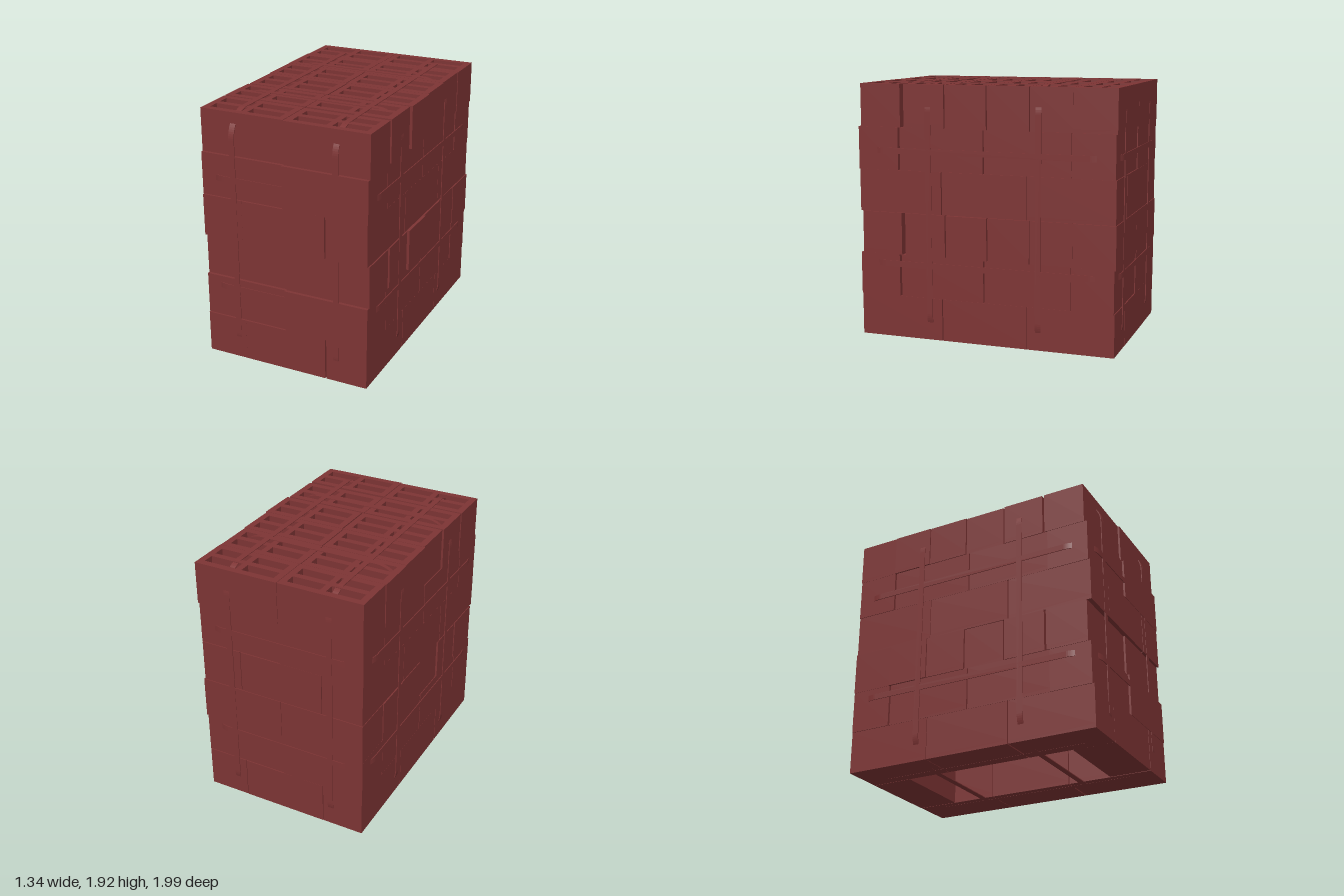
import * as THREE from 'three';
import { mergeGeometries } from 'three/addons/utils/BufferGeometryUtils.js';

const LENGTH = 0.655, WIDTH = 0.318, HEIGHT = 0.319, LAYER = 0.32;
const FLOOR = 0.03; // closed base under the brick cavities

// Rectangle as a closed path, centred on (cx, cy)
function rect(path, cx, cy, w, h) {
  path.moveTo(cx - w / 2, cy - h / 2);
  path.lineTo(cx + w / 2, cy - h / 2);
  path.lineTo(cx + w / 2, cy + h / 2);
  path.lineTo(cx - w / 2, cy + h / 2);
  path.closePath();
  return path;
}

// Rectangle with round corners
function roundRect(path, x0, y0, x1, y1, r) {
  path.moveTo(x0 + r, y0);
  path.lineTo(x1 - r, y0);
  path.absarc(x1 - r, y0 + r, r, -Math.PI / 2, 0);
  path.lineTo(x1, y1 - r);
  path.absarc(x1 - r, y1 - r, r, 0, Math.PI / 2);
  path.lineTo(x0 + r, y1);
  path.absarc(x0 + r, y1 - r, r, Math.PI / 2, Math.PI);
  path.lineTo(x0, y0 + r);
  path.absarc(x0 + r, y0 + r, r, Math.PI, Math.PI * 1.5);
  return path;
}

// Block with four blind cavities, standing on y = 0, long side on x
function brickGeometry() {
  const shape = rect(new THREE.Shape(), 0, 0, LENGTH, WIDTH);
  for (const x of [-0.15, 0.15])
    for (const z of [-0.066, 0.066])
      shape.holes.push(rect(new THREE.Path(), x, z, 0.255, 0.084));
  const walls = new THREE.ExtrudeGeometry(shape, { depth: HEIGHT - FLOOR, bevelEnabled: false });
  walls.rotateX(Math.PI / 2).translate(0, HEIGHT, 0);
  const base = new THREE.BoxGeometry(LENGTH, FLOOR, WIDTH).toNonIndexed();
  base.translate(0, FLOOR / 2, 0);
  return mergeGeometries([walls, base]);
}

// Flat band around a rounded rectangle, extruded evenly about z = 0
function strapGeometry(x0, y0, x1, y1) {
  const t = 0.006, r = 0.2, w = 0.044;
  const shape = roundRect(new THREE.Shape(), x0, y0, x1, y1, r);
  shape.holes.push(roundRect(new THREE.Path(), x0 + t, y0 + t, x1 - t, y1 - t, r - t));
  const g = new THREE.ExtrudeGeometry(shape, { depth: w, bevelEnabled: false, curveSegments: 10 });
  return g.translate(0, 0, -w / 2);
}

export function createModel() {
  const model = new THREE.Group();
  model.name = 'brickStack';
  const red = new THREE.MeshStandardMaterial({ color: 0x7d3434 });
  red.name = 'brickRed';
  const brickGeo = brickGeometry();

  function addBrick(parent, x, z, turned = false) {
    const brick = new THREE.Mesh(brickGeo, red);
    brick.name = 'brick';
    brick.position.set(x, 0, z);
    if (turned) brick.rotation.y = Math.PI / 2;
    parent.add(brick);
  }

  // Hollow ring: three bricks along each side, one across each end
  function ringOfThree(layer) {
    for (const z of [-0.662, -0.003, 0.66]) {
      addBrick(layer, -0.497, z, true);
      addBrick(layer, 0.486, z, true);
    }
    addBrick(layer, -0.01, 0.829);
    addBrick(layer, -0.006, -0.832);
  }

  // Hollow ring: two bricks along each side, two across each end
  function ringOfTwo(layer) {
    for (const z of [-0.334, 0.33]) {
      addBrick(layer, -0.497, z, true);
      addBrick(layer, 0.486, z, true);
    }
    addBrick(layer, -0.332, 0.816);
    addBrick(layer, 0.322, 0.831);
    addBrick(layer, -0.332, -0.832);
    addBrick(layer, 0.322, -0.825);
  }

  // Full layer: six rows of two bricks, slightly uneven
  function fullLayer(layer) {
    const rows = [ // left x, left z, right x, right z
      [-0.332, -0.836, 0.326, -0.836],
      [-0.338, -0.516, 0.322, -0.516],
      [-0.333, -0.194, 0.329, -0.194],
      [-0.324, 0.128, 0.34, 0.128],
      [-0.333, 0.461, 0.326, 0.461],
      [-0.334, 0.795, 0.326, 0.808],
    ];
    for (const [xl, zl, xr, zr] of rows) {
      addBrick(layer, xl, zl);
      addBrick(layer, xr, zr);
    }
  }

  const patterns = [ringOfThree, ringOfTwo, fullLayer];
  for (let i = 0; i < 6; i++) {
    const layer = new THREE.Group();
    layer.name = `brickLayer${i + 1}`;
    layer.position.y = 0.001 + i * LAYER;
    patterns[i % 3](layer);
    model.add(layer);
  }

  // Packing straps
  function addStrap(name, geometry, x, y, z) {
    const strap = new THREE.Mesh(geometry, red);
    strap.name = name;
    strap.position.set(x, y, z);
    model.add(strap);
  }
  const lengthwise = strapGeometry(-0.998, 0, 0.99, 1.924).rotateY(-Math.PI / 2);
  const crosswise = strapGeometry(-0.67, 0, 0.656, 1.924);
  const level = strapGeometry(-0.67, -0.998, 0.656, 0.99).rotateX(Math.PI / 2);
  for (const x of [-0.4, 0.405]) addStrap('lengthwiseStrap', lengthwise, x, 0, 0);
  for (const z of [-0.42, 0.428]) addStrap('crosswiseStrap', crosswise, 0, 0, z);
  for (const y of [0.57, 1.425]) addStrap('levelStrap', level, 0, y, 0);

  return model;
}
